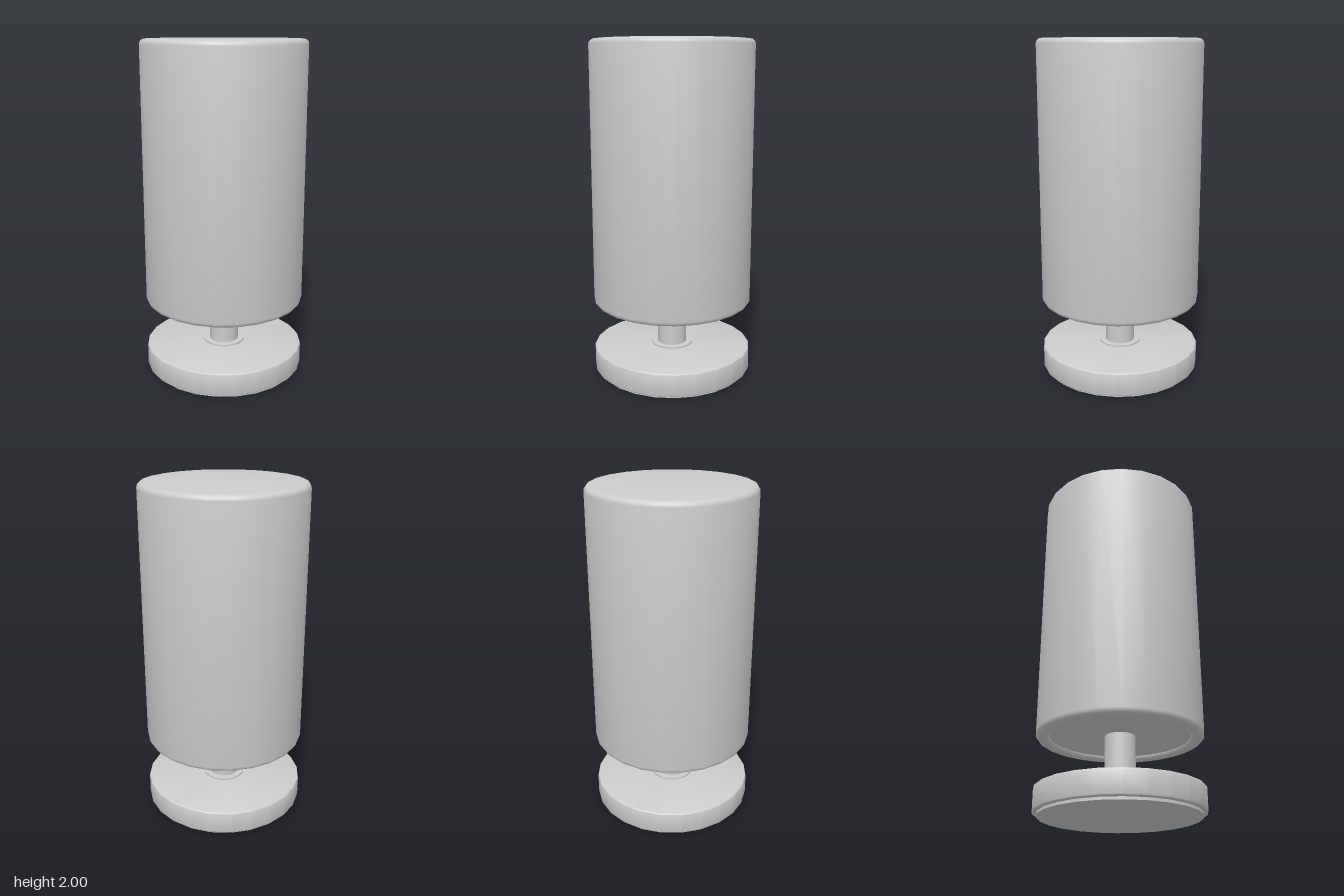
import * as THREE from 'three';
import { toCreasedNormals } from 'three/addons/utils/BufferGeometryUtils.js';

const SIDES = 24;
const material = new THREE.MeshStandardMaterial({ color: 0xcccccc });

// Rounded corner: quarter arc around (cx, cy), angles in degrees
function arc(cx, cy, r, from, to, steps = 4) {
  return Array.from({ length: steps + 1 }, (_, i) => {
    const a = THREE.MathUtils.degToRad(from + ((to - from) * i) / steps);
    return [cx + r * Math.cos(a), cy + r * Math.sin(a)];
  });
}

// Turned part from a profile of [radius, height], listed from the bottom up
function turned(name, profile) {
  const points = profile.map(([r, y]) => new THREE.Vector2(Math.max(r, 0), y));
  const geometry = toCreasedNormals(new THREE.LatheGeometry(points, SIDES), 0.6);
  const mesh = new THREE.Mesh(geometry, material);
  mesh.name = name;
  return mesh;
}

// Plain cylinder standing between two heights
function disc(name, radius, y0, y1) {
  const mesh = new THREE.Mesh(new THREE.CylinderGeometry(radius, radius, y1 - y0, SIDES), material);
  mesh.position.y = (y0 + y1) / 2;
  mesh.name = name;
  return mesh;
}

export function createModel() {
  const lamp = new THREE.Group();
  lamp.name = 'tableLamp';

  // Foot pad, rounded base, collar and stem
  lamp.add(disc('footPad', 0.456, 0, 0.02));
  lamp.add(turned('base', [
    [0, 0.015],
    ...arc(0.468, 0.027, 0.012, -90, 0),
    ...arc(0.468, 0.143, 0.012, 0, 90),
    [0, 0.155],
  ]));
  lamp.add(disc('collar', 0.125, 0.15, 0.165));
  lamp.add(disc('stem', 0.088, 0.15, 0.47));

  // Shade with rounded rims and a shallow recess underneath
  lamp.add(turned('shade', [
    [0, 0.46],
    [0.4, 0.46],
    ...arc(0.43, 0.46, 0.026, -180, -90),
    ...arc(0.45, 0.464, 0.03, -90, 0),
    ...arc(0.45, 1.97, 0.03, 0, 90),
    [0, 2],
  ]));
  return lamp;
}
